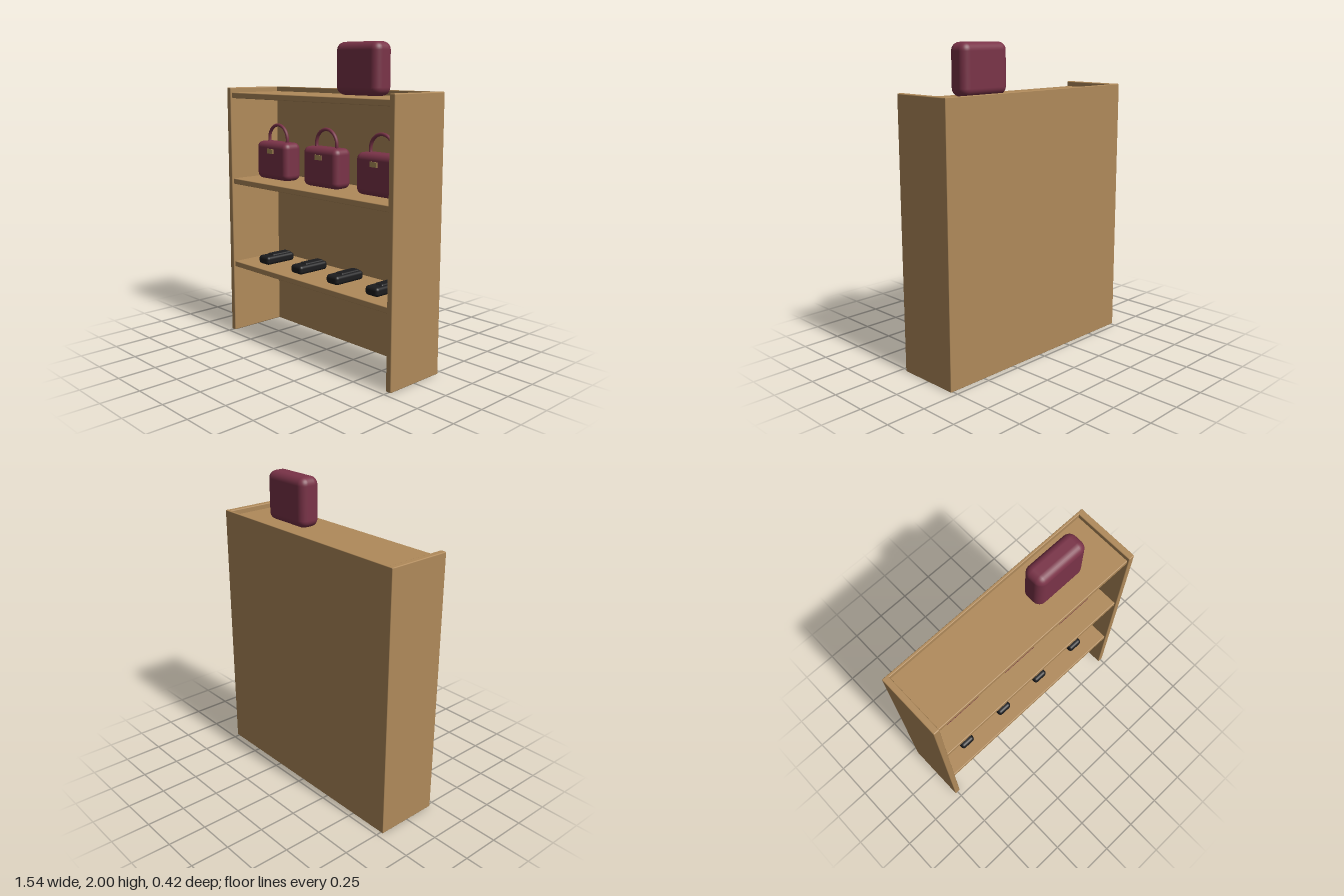
import * as THREE from 'three';
import { RoundedBoxGeometry } from 'three/addons/geometries/RoundedBoxGeometry.js';

const mat = (name, color) => {
  const m = new THREE.MeshStandardMaterial({ color });
  m.name = name;
  return m;
};

export function createModel() {
  const model = new THREE.Group();
  model.name = 'displayShelf';
  const wood = mat('wood', 0xb08a5a);
  const leather = mat('burgundyLeather', 0x7a3348);
  const brass = mat('brass', 0xb0925a);
  const black = mat('blackLeather', 0x1c1c1e);

  const add = (parent, name, geometry, material, x, y, z) => {
    const mesh = new THREE.Mesh(geometry, material);
    mesh.name = name;
    mesh.position.set(x, y, z);
    parent.add(mesh);
    return mesh;
  };
  const rounded = (w, h, d, r, segments = 4) => new RoundedBoxGeometry(w, h, d, segments, r);

  // Cabinet: side panels, back and three shelves
  for (const s of [-1, 1]) {
    add(model, s > 0 ? 'leftPanel' : 'rightPanel', rounded(0.04, 1.712, 0.423, 0.006, 2), wood, s * 0.748, 0.856, 0);
  }
  add(model, 'backPanel', rounded(1.536, 1.712, 0.017, 0.004, 2), wood, 0, 0.856, -0.2045);
  [['lowerShelf', 0.484], ['middleShelf', 1.072], ['topShelf', 1.66]].forEach(([name, y]) => {
    add(model, name, rounded(1.46, 0.038, 0.4, 0.005, 2), wood, 0, y, 0);
  });

  // Handbags with arched handle and clasp
  for (const x of [-0.48, 0, 0.48]) {
    const bag = new THREE.Group();
    bag.name = 'handbag';
    bag.position.set(x, 1.222, 0);
    add(bag, 'bagBody', rounded(0.32, 0.256, 0.14, 0.04), leather, 0, 0, 0);
    const arc = Math.PI + 0.5;
    const handle = add(bag, 'bagHandle', new THREE.TorusGeometry(0.094, 0.011, 10, 32, arc), leather, 0, 0.146, 0);
    handle.rotation.z = -0.25;
    add(bag, 'bagClasp', new THREE.BoxGeometry(0.058, 0.032, 0.008), brass, 0, 0.066, 0.072);
    model.add(bag);
  }

  // Plain case standing on the top shelf
  add(model, 'topCase', rounded(0.36, 0.316, 0.145, 0.05), leather, 0.32, 1.842, 0);

  // Row of shoes
  for (const x of [-0.514, -0.172, 0.17, 0.513]) {
    const shoe = new THREE.Group();
    shoe.name = 'shoe';
    shoe.position.set(x, 0.503, 0);
    add(shoe, 'shoeBody', rounded(0.105, 0.058, 0.24, 0.02), black, 0, 0.031, 0);
    add(shoe, 'shoeUpper', rounded(0.066, 0.04, 0.16, 0.012), black, 0, 0.048, -0.025);
    model.add(shoe);
  }
  return model;
}
